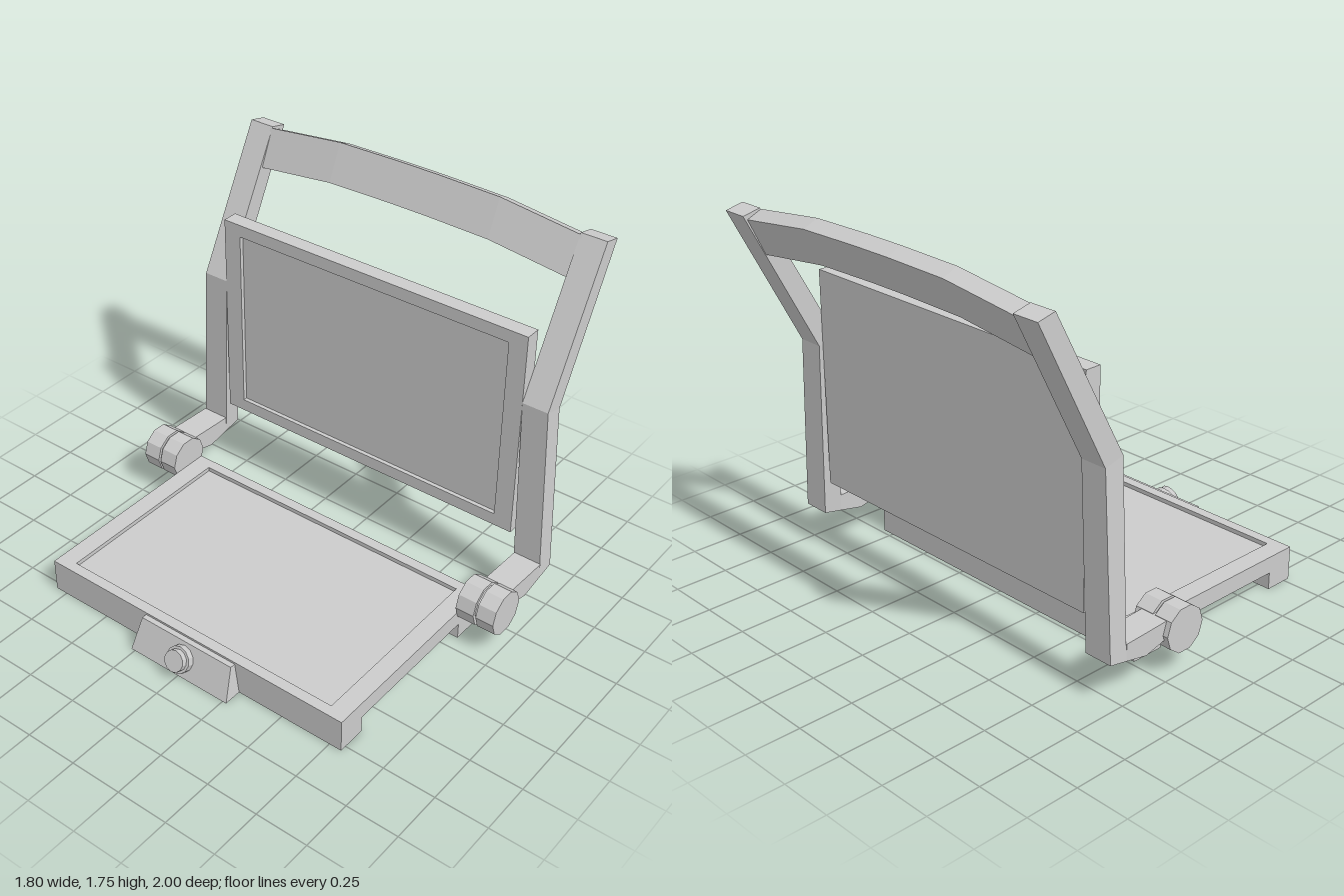
import * as THREE from 'three';

const grey = new THREE.MeshStandardMaterial({ color: 0xcccccc, flatShading: true });
grey.name = 'light grey';

function add(parent, geometry, name) {
  const mesh = new THREE.Mesh(geometry, grey);
  mesh.name = name;
  parent.add(mesh);
  return mesh;
}

// Box given by its minimum and maximum corners
function block(parent, name, [x0, y0, z0], [x1, y1, z1]) {
  const mesh = add(parent, new THREE.BoxGeometry(x1 - x0, y1 - y0, z1 - z0), name);
  mesh.position.set((x0 + x1) / 2, (y0 + y1) / 2, (z0 + z1) / 2);
  return mesh;
}

// Solid skinned over four-cornered rings, closed at both ends
function loft(rings) {
  const tris = [];
  const quad = (a, b, c, d) => tris.push([a, b, c], [a, c, d]);
  for (let i = 0; i < rings.length - 1; i++) {
    for (let j = 0; j < 4; j++) {
      const k = (j + 1) % 4;
      quad(rings[i][j], rings[i][k], rings[i + 1][k], rings[i + 1][j]);
    }
  }
  quad(...[...rings[0]].reverse());
  quad(...rings[rings.length - 1]);
  // Flip the winding when the signed volume is negative
  const v = (p) => new THREE.Vector3(...p);
  const volume = tris.reduce((s, [a, b, c]) => s + v(a).dot(v(b).cross(v(c))), 0);
  if (volume < 0) tris.forEach((t) => t.reverse());
  const geometry = new THREE.BufferGeometry();
  geometry.setAttribute('position', new THREE.Float32BufferAttribute(tris.flat(2), 3));
  geometry.computeVertexNormals();
  return geometry;
}

// Rectangular frame in the XY plane, extruded along +z
function frameGeometry(w, h, mx, my, depth) {
  const rect = (path, a, b) =>
    path.moveTo(-a, -b).lineTo(a, -b).lineTo(a, b).lineTo(-a, b).closePath();
  const shape = rect(new THREE.Shape(), w / 2, h / 2);
  shape.holes.push(rect(new THREE.Path(), w / 2 - mx, h / 2 - my));
  return new THREE.ExtrudeGeometry(shape, { depth, bevelEnabled: false });
}

export function createModel() {
  const model = new THREE.Group();
  model.name = 'foldingSeat';

  // Seat tray with raised rim and two cross feet
  const seat = new THREE.Group();
  seat.name = 'seat';
  model.add(seat);
  const seatRim = add(seat, frameGeometry(1.01, 1.62, 0.05, 0.09, 0.08), 'seatRim');
  seatRim.rotation.x = -Math.PI / 2;
  seatRim.position.set(-0.275, 0.08, 0);
  block(seat, 'seatPanel', [-0.73, 0.08, -0.72], [0.18, 0.14, 0.72]);
  block(seat, 'frontFoot', [-0.78, 0, -0.81], [-0.64, 0.08, 0.81]);
  block(seat, 'rearFoot', [0.07, 0, -0.81], [0.23, 0.08, 0.81]);

  // Sloped mount with a stepped knob on the front edge
  const slab = (y, x, z) => [[x, y, -z], [x, y, z], [-0.78, y, z], [-0.78, y, -z]];
  add(model, loft([slab(0, -0.865, 0.27), slab(0.15, -0.805, 0.25)]), 'knobMount');
  const knob = new THREE.Group();
  knob.name = 'knob';
  knob.position.set(-0.835, 0.078, 0);
  knob.rotation.z = 1.17;
  model.add(knob);
  add(knob, new THREE.CylinderGeometry(0.062, 0.062, 0.03, 12), 'knobCollar').position.y = 0.015;
  add(knob, new THREE.CylinderGeometry(0.05, 0.05, 0.03, 12), 'knobCap').position.y = 0.041;

  // Back panel, recessed towards the seat
  const back = new THREE.Group();
  back.name = 'backrest';
  model.add(back);
  const backRim = add(back, frameGeometry(1.62, 1.02, 0.09, 0.06, 0.075), 'backRim');
  backRim.rotation.y = Math.PI / 2;
  backRim.position.set(0.455, 0.86, 0);
  block(back, 'backPanel', [0.475, 0.41, -0.72], [0.53, 1.31, 0.72]);

  // Hinges, arms and posts on both sides
  for (const s of [1, -1]) {
    const side = new THREE.Group();
    side.name = s > 0 ? 'leftSide' : 'rightSide';
    model.add(side);

    const disc = (name, r, z0, z1) => {
      const geometry = new THREE.CylinderGeometry(r, r, z1 - z0, 10);
      geometry.rotateY(Math.PI / 2).rotateX(Math.PI / 2);
      add(side, geometry, name).position.set(0.14, 0.2, (s * (z0 + z1)) / 2);
    };
    disc('innerHingeDisc', 0.105, 0.81, 0.9);
    disc('hingeNeck', 0.09, 0.9, 0.912);
    disc('outerHingeDisc', 0.105, 0.912, 1);

    const armRings = [[0.16, 0.19, 0.26], [0.24, 0.175, 0.26], [0.34, 0.15, 0.255], [0.455, 0.173, 0.25]];
    add(side, loft(armRings.map(([x, lo, hi]) =>
      [[x, lo, s * 0.84], [x, hi, s * 0.84], [x, hi, s * 0.975], [x, lo, s * 0.975]])), 'arm');

    // Front x, y; rear x, y; inner and outer z
    const postRings = [
      [0.455, 0.173, 0.545, 0.19, 0.84, 0.975],
      [0.455, 1.045, 0.55, 1.02, 0.81, 0.935],
      [0.81, 1.7, 0.895, 1.68, 0.81, 0.935],
    ];
    add(side, loft(postRings.map(([fx, fy, rx, ry, zi, zo]) =>
      [[fx, fy, s * zi], [fx, fy, s * zo], [rx, ry, s * zo], [rx, ry, s * zi]])), 'post');
  }

  // Arched top rail, leaning with the posts
  const railRings = [[-0.82, -0.052], [-0.42, -0.006], [-0.1, 0], [0.1, 0], [0.42, -0.006], [0.82, -0.052]];
  add(model, loft(railRings.map(([z, dy]) =>
    [[0.73, 1.575], [0.805, 1.745], [0.875, 1.713], [0.795, 1.545]].map(([x, y]) => [x, y + dy, z]))), 'topRail');

  return model;
}
